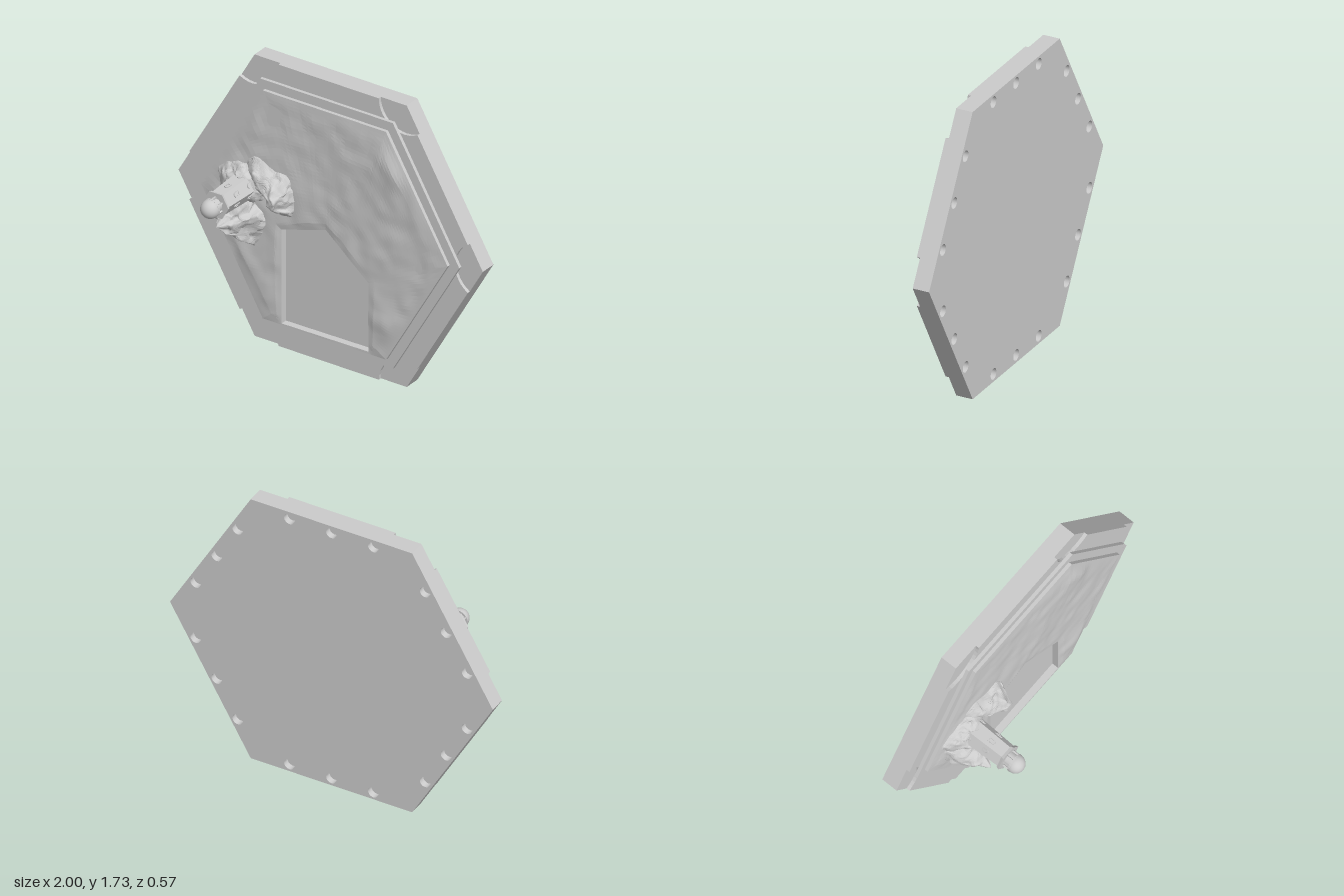
import * as THREE from 'three';

const CY = 0.866; // height of the tile centre
const grey = (o = {}) => new THREE.MeshStandardMaterial({ color: 0xcccccc, ...o });
const flat = grey({ flatShading: true });
const V = (x, y) => new THREE.Vector2(x, y);
const polar = (r, deg, x = 0, y = CY) =>
  V(x + r * Math.cos(deg * Math.PI / 180), y + r * Math.sin(deg * Math.PI / 180));
const hex = (r) => [0, 60, 120, 180, 240, 300].map((a) => polar(r, a));

// Recessed pentagonal pocket
const pocket = [V(-0.28, 0.172), V(0.29, 0.178), V(0.29, 0.6), V(0.01, 0.84), V(-0.28, 0.75)];

function add(parent, name, geo, mat = flat) {
  const m = new THREE.Mesh(geo, mat);
  m.name = name;
  parent.add(m);
  return m;
}

function plate(points, z0, z1, holes = []) {
  const s = new THREE.Shape(points);
  s.holes.push(...holes);
  const g = new THREE.ExtrudeGeometry(s, { depth: z1 - z0, bevelEnabled: false, curveSegments: 20 });
  return g.translate(0, 0, z0);
}

// Smooth 3D value noise in -1..1
function hash(x, y, z) {
  const s = Math.sin(x * 127.1 + y * 311.7 + z * 74.7) * 43758.5453;
  return (s - Math.floor(s)) * 2 - 1;
}
function noise(x, y, z = 0) {
  const X = Math.floor(x), Y = Math.floor(y), Z = Math.floor(z);
  const f = (t) => t * t * (3 - 2 * t), L = THREE.MathUtils.lerp;
  const u = f(x - X), v = f(y - Y), w = f(z - Z);
  const row = (j, k) => L(hash(X, Y + j, Z + k), hash(X + 1, Y + j, Z + k), u);
  return L(L(row(0, 0), row(1, 0), v), L(row(0, 1), row(1, 1), v), w);
}

// Surface from closed rings: point(i, j) for ring i of n and step j of m
function ringSurface(n, m, point) {
  const pos = [], idx = [];
  for (let i = 0; i <= n; i++) for (let j = 0; j < m; j++) pos.push(...point(i, j));
  for (let i = 0; i < n; i++) for (let j = 0; j < m; j++) {
    const k = (j + 1) % m, a = i * m + j, b = (i + 1) * m + j, c = (i + 1) * m + k, d = i * m + k;
    idx.push(a, b, c, a, c, d);
  }
  const g = new THREE.BufferGeometry();
  g.setAttribute('position', new THREE.Float32BufferAttribute(pos, 3));
  g.setIndex(idx);
  g.computeVertexNormals();
  return g;
}

// Distance from centre c along angle t to a convex polygon
function castRay(poly, c, t) {
  const dx = Math.cos(t), dy = Math.sin(t);
  let best = Infinity;
  poly.forEach((p, i) => {
    const q = poly[(i + 1) % poly.length];
    const nx = q.y - p.y, ny = p.x - q.x;
    const den = nx * dx + ny * dy;
    if (den > 1e-9) best = Math.min(best, (nx * (p.x - c.x) + ny * (p.y - c.y)) / den);
  });
  return best;
}

// Rolling ground between the pocket and the inner hexagon
function groundGeometry() {
  const c = V(0, 0.5), outer = hex(0.81), angles = [];
  for (let i = 0; i < 160; i++) angles.push(-Math.PI + (i / 160) * Math.PI * 2);
  for (const p of [...outer, ...pocket]) angles.push(Math.atan2(p.y - c.y, p.x - c.x));
  angles.sort((a, b) => a - b);
  const N = 36;
  return ringSurface(N, angles.length, (i, j) => {
    const t = angles[j], r0 = castRay(pocket, c, t), r1 = castRay(outer, c, t);
    const r = r0 + (r1 - r0) * i / N;
    const x = c.x + r * Math.cos(t), y = c.y + r * Math.sin(t);
    const fade = Math.min(1, (r1 - r) / 0.08) * Math.min(1, (r - r0) / 0.05 + 0.2);
    const hill = 0.016 * Math.exp(-((x - 0.42) ** 2 + (y - 1.35) ** 2) / 0.02)
      + 0.012 * Math.exp(-((x - 0.45) ** 2 + (y - 0.38) ** 2) / 0.01);
    const h = 0.006 + 0.006 * noise(x * 6, y * 6) + 0.004 * noise(x * 13, y * 13, 5) + hill;
    return [x, y, -0.128 + h * fade];
  });
}

// Craggy rock: rings run from the peak down to a closed outline
function rockGeometry(outline, peak, power) {
  const curve = new THREE.CatmullRomCurve3(
    outline.map(([x, y]) => new THREE.Vector3(x, y, -0.135)), true, 'catmullrom', 0.4);
  const N = 22, M = 80, top = new THREE.Vector3(...peak);
  const edge = Array.from({ length: M }, (_, j) => curve.getPoint(j / M));
  return ringSurface(N, M, (i, j) => {
    const t = i / N, e = edge[j];
    const x = top.x + (e.x - top.x) * t, y = top.y + (e.y - top.y) * t;
    const z = e.z + (top.z - e.z) * (1 - Math.pow(t, power));
    const amp = Math.min(1, t * 4);
    const d = (k) => amp * (0.02 * noise(x * 16, y * 16, z * 16 + k)
      + 0.013 * noise(x * 38, y * 38, z * 38 + k));
    return [x + d(3) * 0.8, y + d(40) * 0.8, z + d(80) * (1 - t * t)];
  });
}

function lighthouse() {
  const g = new THREE.Group();
  g.name = 'lighthouse';
  g.position.set(-0.5, 0.97, 0);
  // Prism standing along z, corners on the x axis
  const drum = (name, r0, r1, z0, z1, sides, mat = flat) => add(g, name,
    new THREE.CylinderGeometry(r1, r0, z1 - z0, sides).rotateY(Math.PI / 6)
      .rotateX(Math.PI / 2).translate(0, 0, (z0 + z1) / 2), mat);
  drum('tower', 0.085, 0.072, -0.13, 0.168, 6);
  drum('gallery', 0.08, 0.085, 0.164, 0.18, 6);
  drum('lantern', 0.043, 0.043, 0.18, 0.235, 20, grey());
  drum('domeRim', 0.056, 0.056, 0.218, 0.23, 24);
  const dome = new THREE.SphereGeometry(0.055, 28, 12, 0, Math.PI * 2, 0, Math.PI / 2);
  add(g, 'dome', dome.rotateX(Math.PI / 2).translate(0, 0, 0.23), grey());

  // Arched window frame, facing +x
  const arch = (path, w, h) => path.moveTo(-w, -h).lineTo(w, -h).lineTo(w, h)
    .absarc(0, h, w, 0, Math.PI, false).lineTo(-w, -h);
  const shape = arch(new THREE.Shape(), 0.014, 0.014);
  shape.holes.push(arch(new THREE.Path(), 0.008, 0.011));
  const frame = new THREE.ExtrudeGeometry(shape, { depth: 0.012, bevelEnabled: false, curveSegments: 6 })
    .rotateX(Math.PI / 2).rotateZ(Math.PI / 2);
  for (let k = 0; k < 6; k++) {
    const a = (k + 0.5) * Math.PI / 3;
    for (const [z, r] of [[-0.06, 0.064], [0.06, 0.059]]) {
      const w = add(g, 'windowFrame', frame);
      w.position.set(r * Math.cos(a), r * Math.sin(a), z);
      w.rotation.z = a;
    }
    // Slim posts around the lantern
    const post = add(g, 'lanternPost', new THREE.BoxGeometry(0.01, 0.01, 0.045));
    post.position.set(0.048 * Math.cos(a), 0.048 * Math.sin(a), 0.2);
    post.rotation.z = a;
  }
  return g;
}

export function createModel() {
  const model = new THREE.Group();
  model.name = 'hexTile';

  // Base with three round sockets along each back edge
  const sockets = [];
  const corners = hex(1);
  corners.forEach((p, i) => {
    const q = corners[(i + 1) % 6], inward = polar(0.046, i * 60 + 210, 0, 0);
    for (const t of [0.24, 0.5, 0.76]) {
      const c = p.clone().lerp(q, t).add(inward);
      sockets.push(new THREE.Path().absarc(c.x, c.y, 0.033, 0, Math.PI * 2, true));
    }
  });
  add(model, 'backPlate', plate(corners, -0.288, -0.25, sockets));
  add(model, 'basePlate', plate(corners, -0.25, -0.188));

  // Rim with a round notch at every corner
  const rim = [];
  corners.forEach((p, i) => {
    for (let k = 0; k <= 12; k++) rim.push(polar(0.17, i * 60 + 240 - k * 10, p.x, p.y));
  });
  add(model, 'notchedRim', plate(rim, -0.188, -0.168));

  // Steps, open over the pocket
  add(model, 'lowerStep', plate(hex(0.873), -0.168, -0.148, [new THREE.Path(pocket)]));
  add(model, 'upperStep', plate(hex(0.81), -0.148, -0.128, [new THREE.Path(pocket)]));
  add(model, 'ground', groundGeometry(), grey({ flatShading: true, side: THREE.DoubleSide }));

  // Rocks around the lighthouse
  const rockMat = grey({ flatShading: true, side: THREE.DoubleSide });
  add(model, 'frontRock', rockGeometry([[-0.7, 0.9], [-0.66, 0.75], [-0.58, 0.68], [-0.5, 0.63],
    [-0.44, 0.6], [-0.43, 0.67], [-0.37, 0.75], [-0.37, 0.82], [-0.43, 0.85], [-0.45, 0.92],
    [-0.52, 1.0], [-0.63, 1.0]], [-0.55, 0.78, 0.1], 1.15), rockMat);
  add(model, 'sideRock', rockGeometry([[-0.52, 1.08], [-0.45, 1.0], [-0.38, 0.93], [-0.35, 0.85],
    [-0.28, 0.82], [-0.22, 0.84], [-0.19, 0.91], [-0.2, 1.02], [-0.27, 1.1], [-0.35, 1.12],
    [-0.42, 1.15], [-0.51, 1.15]], [-0.28, 0.98, 0], 1.5), rockMat);
  add(model, 'towerRock', rockGeometry([[-0.7, 0.95], [-0.66, 0.87], [-0.55, 0.86], [-0.42, 0.87],
    [-0.37, 0.97], [-0.41, 1.08], [-0.52, 1.11], [-0.61, 1.08], [-0.68, 1.03]],
    [-0.52, 0.97, -0.02], 2.2), rockMat);

  model.add(lighthouse());
  return model;
}
